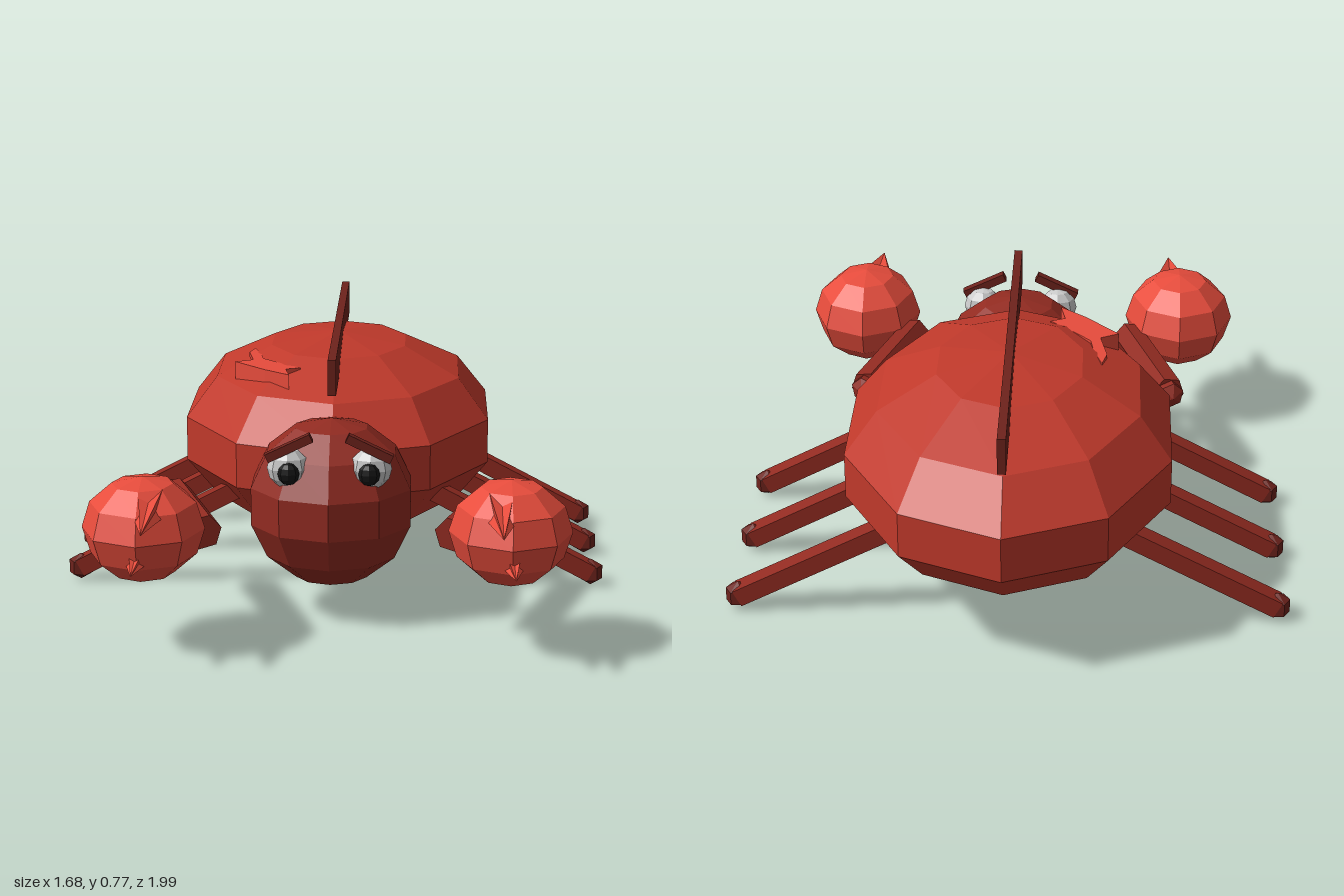
import * as THREE from 'three';

const paint = (color) => new THREE.MeshStandardMaterial({ color, flatShading: true });
const shellRed = paint(0xc0392b), darkRed = paint(0x922b21), maroon = paint(0x6e231c);
const brightRed = paint(0xe74c3c), white = paint(0xf0f0f0), black = paint(0x151515);

export function createModel() {
  const model = new THREE.Group();

  function add(name, geometry, material, x = 0, y = 0, z = 0) {
    const mesh = new THREE.Mesh(geometry, material);
    mesh.name = name;
    mesh.position.set(x, y, z);
    model.add(mesh);
    return mesh;
  }

  // Faceted ellipsoid with a vertex column facing front and back
  function ball(rx, ry, rz, sides, rows) {
    return new THREE.SphereGeometry(1, sides, rows).rotateY(Math.PI / 2).scale(rx, ry, rz);
  }

  // Lays a geometry's y axis along the line from a to b
  function between(name, geometry, material, a, b) {
    const dir = b.clone().sub(a).normalize();
    const mid = a.clone().add(b).multiplyScalar(0.5);
    const mesh = add(name, geometry, material, mid.x, mid.y, mid.z);
    mesh.quaternion.setFromUnitVectors(new THREE.Vector3(0, 1, 0), dir);
    return mesh;
  }

  // Cone with a five-pointed star section
  function starCone(radius, length) {
    const g = new THREE.ConeGeometry(radius, length, 10, 1);
    const p = g.attributes.position;
    for (let i = 0; i < p.count; i++) {
      const corner = Math.round(Math.atan2(p.getX(i), p.getZ(i)) / (Math.PI / 5));
      if (Math.abs(corner) % 2 === 1) p.setXYZ(i, p.getX(i) * 0.55, p.getY(i), p.getZ(i) * 0.55);
    }
    g.computeVertexNormals();
    return g;
  }

  // Body
  add('shell', ball(0.517, 0.313, 0.677, 10, 7), shellRed, 0, 0.42, -0.34);
  add('head', ball(0.257, 0.257, 0.257, 10, 7), darkRed, 0, 0.347, 0.31);
  add('crest', new THREE.BoxGeometry(0.025, 0.11, 1.235), maroon, 0, 0.72, -0.328);

  // Jagged patch on the right shoulder of the shell, drawn as x and z
  const outline = [[-0.27, -0.3], [-0.245, -0.22], [-0.235, -0.15], [-0.19, -0.1], [-0.11, -0.02],
    [-0.155, 0], [-0.14, 0.08], [-0.22, 0.01], [-0.32, -0.1], [-0.265, -0.13], [-0.285, -0.24]];
  const patch = new THREE.Shape(outline.map(([x, z]) => new THREE.Vector2(x, -z)));
  const patchGeometry = new THREE.ExtrudeGeometry(patch, { depth: 0.065, bevelEnabled: false });
  add('shellPatch', patchGeometry.rotateX(-Math.PI / 2), brightRed, 0, 0.615, 0);

  for (const s of [-1, 1]) {
    const side = s > 0 ? 'left' : 'right';
    const at = (x, y, z) => new THREE.Vector3(s * x, y, z);

    // Legs with faceted feet
    for (const z of [0.05, -0.283, -0.617]) {
      const hip = at(0.25, 0.34, z), foot = at(0.804, 0.048, z);
      between(side + 'Leg', new THREE.BoxGeometry(0.055, hip.distanceTo(foot), 0.064), darkRed, hip, foot);
      add(side + 'Foot', new THREE.SphereGeometry(0.042, 6, 3), maroon, foot.x, foot.y, foot.z);
    }

    // Arm
    const elbow = at(0.487, 0.327, 0.19), wrist = at(0.36, 0.327, 0.59);
    between(side + 'Arm', new THREE.CylinderGeometry(0.053, 0.053, elbow.distanceTo(wrist), 6),
      darkRed, elbow, wrist);
    between(side + 'Elbow', new THREE.SphereGeometry(0.05, 6, 3), darkRed, elbow, at(0.486, 0.327, 0.193));

    // Claw with two spikes
    add(side + 'Claw', ball(0.178, 0.153, 0.2, 8, 6), brightRed, s * 0.527, 0.366, 0.673);
    between(side + 'UpperSpike', starCone(0.06, 0.255), brightRed, at(0.497, 0.45, 0.74), at(0.497, 0.437, 0.99));
    between(side + 'LowerSpike', starCone(0.045, 0.16), brightRed, at(0.53, 0.315, 0.775), at(0.535, 0.3, 0.935));

    // Eye and brow
    add(side + 'Eye', ball(0.062, 0.062, 0.05, 8, 6), white, s * 0.122, 0.492, 0.47);
    add(side + 'Pupil', ball(0.032, 0.034, 0.02, 8, 6), black, s * 0.118, 0.484, 0.512);
    const brow = add(side + 'Brow', new THREE.BoxGeometry(0.145, 0.026, 0.03), maroon, s * 0.118, 0.558, 0.49);
    brow.rotation.z = -s * 0.45;
  }

  return model;
}
